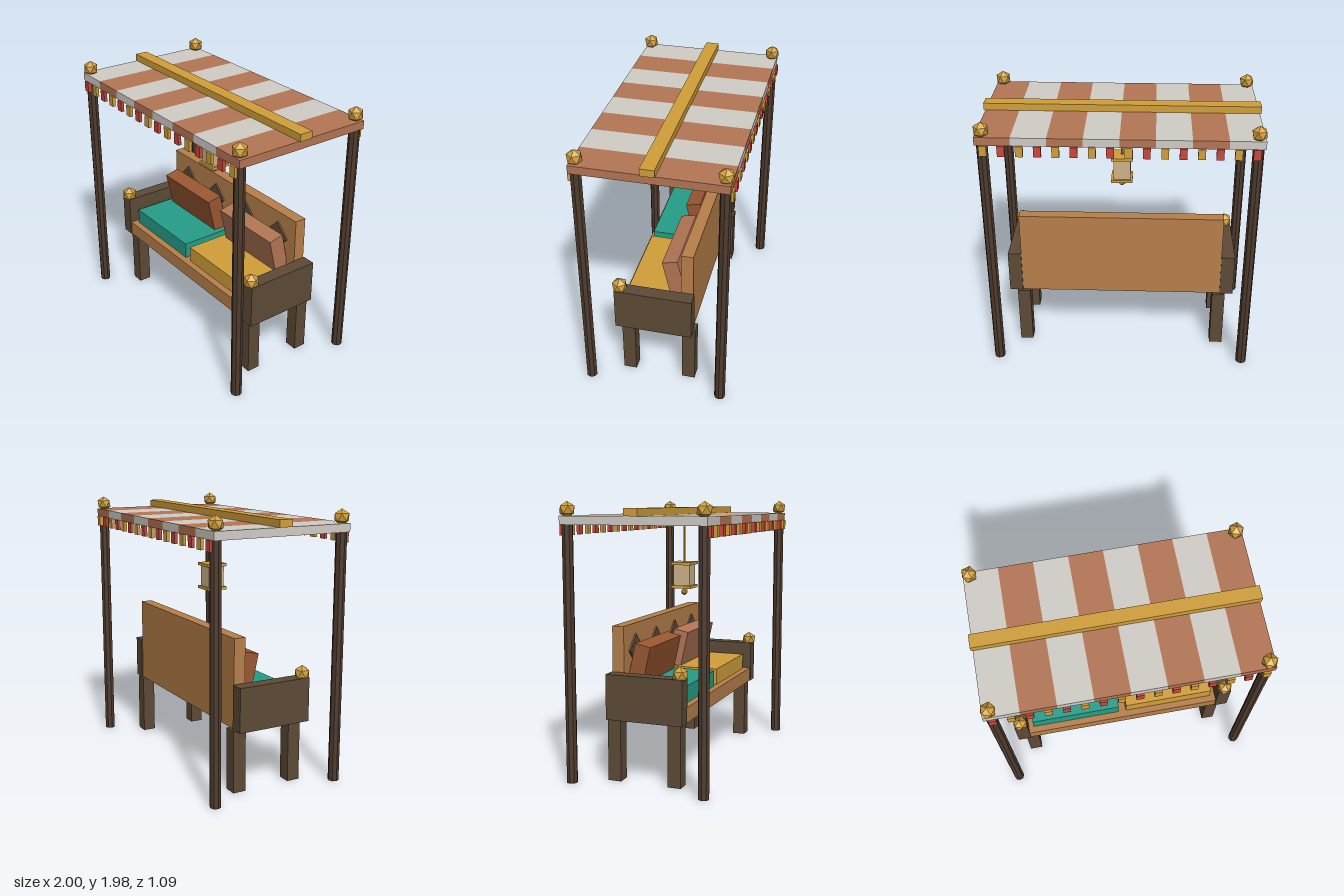
import * as THREE from 'three';

const mat = (name, color) => {
  const m = new THREE.MeshStandardMaterial({ color, flatShading: true });
  m.name = name;
  return m;
};

export function createModel() {
  const model = new THREE.Group();
  model.name = 'canopyBench';

  const white = mat('canvasWhite', 0xd2cec8);
  const terracotta = mat('terracotta', 0xb47656);
  const gold = mat('gold', 0xd2a03a);
  const teal = mat('teal', 0x259f8a);
  const rust = mat('rust', 0x9c5832);
  const wood = mat('benchWood', 0xb8804a);
  const darkWood = mat('darkWood', 0x5e4a37);
  const poleWood = mat('poleWood', 0x4f3b2e);
  const red = mat('red', 0xcc483c);
  const paper = mat('lanternPaper', 0xd0b48a);

  const add = (name, geometry, material, x, y, z, parent = model) => {
    const mesh = new THREE.Mesh(geometry, material);
    mesh.name = name;
    mesh.position.set(x, y, z);
    parent.add(mesh);
    return mesh;
  };

  // Box given by its minimum and maximum on each axis
  const box = (name, material, [x0, x1], [y0, y1], [z0, z1], parent = model) =>
    add(name, new THREE.BoxGeometry(x1 - x0, y1 - y0, z1 - z0), material,
      (x0 + x1) / 2, (y0 + y1) / 2, (z0 + z1) / 2, parent);

  // Faceted knob standing on one of its corners
  const knob = (name, r, x, y, z, parent = model) => {
    const g = new THREE.IcosahedronGeometry(r, 0);
    g.rotateZ(-Math.atan(2 / (1 + Math.sqrt(5))));
    return add(name, g, gold, x, y, z, parent);
  };

  // Striped canopy
  const canopy = new THREE.Group();
  canopy.name = 'canopy';
  model.add(canopy);
  const stripe = 1.976 / 8;
  for (let i = 0; i < 8; i++) {
    const x = -0.988 + i * stripe;
    box('canopyStripe', i % 2 ? terracotta : white, [x, x + stripe], [1.82, 1.88], [-0.533, 0.533], canopy);
  }
  box('ridgeBeam', gold, [-1, 1], [1.88, 1.932], [-0.05, 0.05], canopy);

  // Pennants hanging from the front and back edges
  for (const z of [-0.535, 0.535]) {
    for (let i = 0; i < 16; i++) {
      const x = -0.93 + i * 0.124;
      box('pennant', i % 2 ? gold : red, [x - 0.026, x + 0.026], [1.745, 1.822], [z - 0.012, z + 0.012], canopy);
    }
  }

  // Corner poles with knobs
  for (const x of [-0.94, 0.94]) {
    for (const z of [-0.495, 0.495]) {
      add('pole', new THREE.CylinderGeometry(0.04, 0.04, 1.82, 8), poleWood, x, 0.91, z);
      knob('poleKnob', 0.058, x, 1.921, z);
    }
  }

  // Hanging lantern
  const lantern = new THREE.Group();
  lantern.name = 'lantern';
  model.add(lantern);
  add('lanternCord', new THREE.CylinderGeometry(0.009, 0.009, 0.31, 6), gold, 0, 1.67, 0, lantern);
  box('lanternCap', gold, [-0.08, 0.08], [1.497, 1.519], [-0.08, 0.08], lantern);
  box('lanternShade', paper, [-0.064, 0.064], [1.34, 1.498], [-0.064, 0.064], lantern);
  box('lanternBase', gold, [-0.08, 0.08], [1.319, 1.341], [-0.08, 0.08], lantern);
  knob('lanternBead', 0.028, 0, 1.288, 0, lantern);

  // Bench seat and back
  box('seat', wood, [-0.766, 0.766], [0.46, 0.57], [-0.25, 0.305]);
  box('backrest', wood, [-0.766, 0.766], [0.46, 1.113], [-0.251, -0.163]);

  for (const s of [-1, 1]) {
    // Arms and legs
    box('arm', darkWood, s < 0 ? [-0.867, -0.766] : [0.766, 0.867], [0.46, 0.785], [-0.26, 0.312]);
    knob('armKnob', 0.06, s * 0.818, 0.81, 0.28);
    for (const z of [-0.226, 0.23]) {
      box('leg', darkWood, [s * 0.757 - 0.049, s * 0.757 + 0.049], [0, 0.461], [z - 0.049, z + 0.049]);
    }

    // Seat cushion and leaning pillow
    box('seatCushion', s < 0 ? teal : gold, [s * 0.378 - 0.348, s * 0.378 + 0.348], [0.57, 0.692], [-0.163, 0.255]);
    const pillow = add('pillow', new THREE.BoxGeometry(0.604, 0.32, 0.117), s < 0 ? rust : terracotta,
      s * 0.378, 0.814, -0.092);
    pillow.rotation.x = 0.22;

    // Diamond ornaments on the backrest
    for (const x of [0.192, 0.574]) {
      const diamond = add('backDiamond', new THREE.BoxGeometry(0.155, 0.155, 0.014), darkWood, s * x, 0.925, -0.157);
      diamond.rotation.z = Math.PI / 4;
    }
  }

  return model;
}
